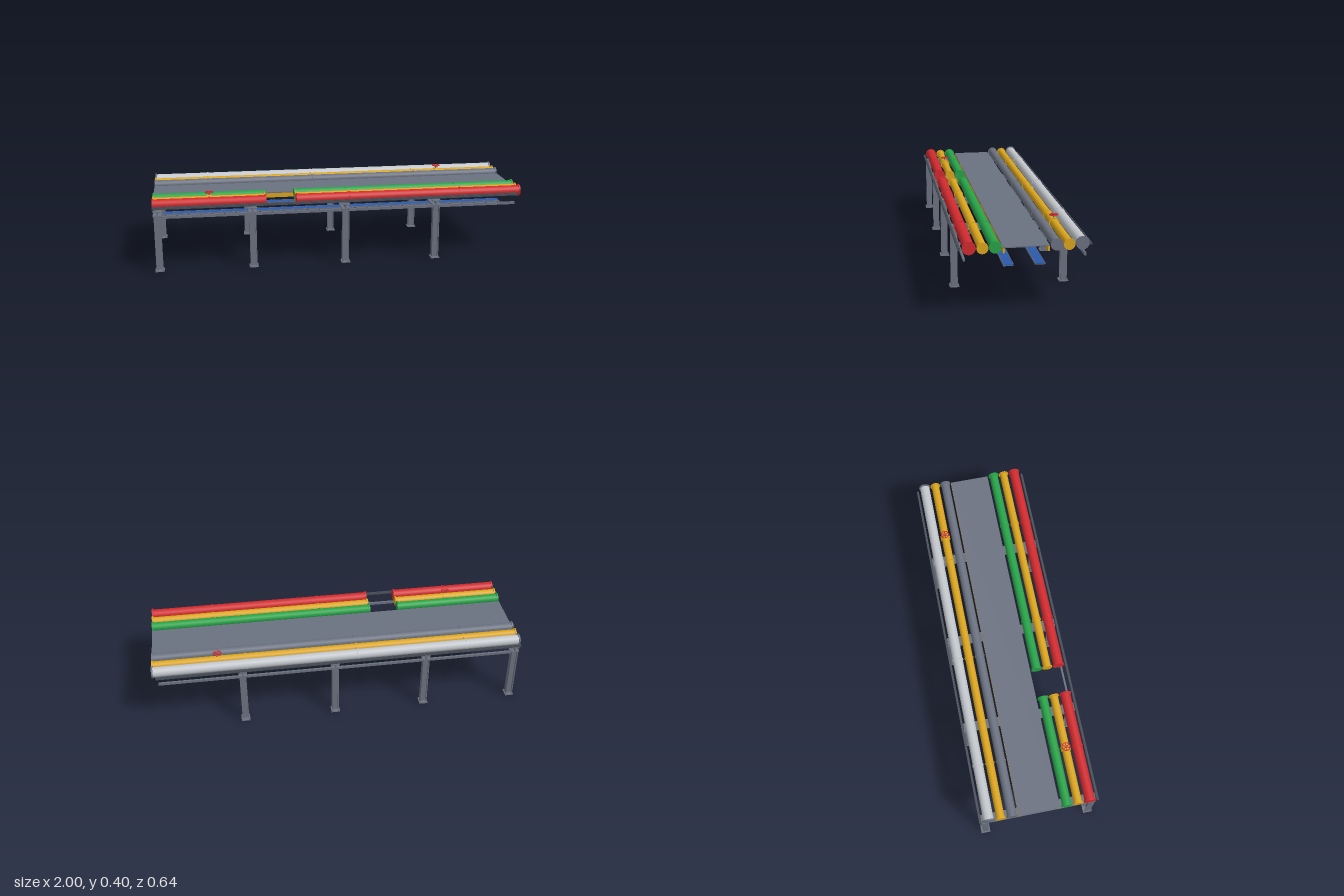
import * as THREE from 'three';

const mat = (name, hex, side = THREE.FrontSide) => {
  const m = new THREE.MeshStandardMaterial({ color: hex, side });
  m.name = name;
  return m;
};

export function createModel() {
  const root = new THREE.Group();
  root.name = 'pipeRack';
  const steel = mat('steelGrey', 0x6b7280);
  const silver = mat('silver', 0xc3c7cc);
  const red = mat('red', 0xd12a2e);
  const yellow = mat('yellow', 0xdba51c);
  const green = mat('green', 0x27a348);
  const blue = mat('blue', 0x2c5aa8);
  const dark = mat('darkGrey', 0x4a4f58);

  const add = (parent, name, geo, material, x = 0, y = 0, z = 0) => {
    const m = new THREE.Mesh(geo, material);
    m.name = name;
    m.position.set(x, y, z);
    parent.add(m);
    return m;
  };
  const box = (parent, name, material, w, h, d, x, y, z) =>
    add(parent, name, new THREE.BoxGeometry(w, h, d), material, x, y, z);
  const group = (name, parent = root) => {
    const g = new THREE.Group();
    g.name = name;
    parent.add(g);
    return g;
  };
  // Cylinder lying along x from x0 to x1
  const rod = (parent, name, material, r, x0, x1, y, z, sides = 24) =>
    add(parent, name, new THREE.CylinderGeometry(r, r, x1 - x0, sides).rotateZ(-Math.PI / 2),
      material, (x0 + x1) / 2, y, z);

  // I section, extruded along z; flanges lie at the top and bottom
  const iBeam = (w, h, flange, web, length) => {
    const a = w / 2, b = h / 2, c = b - flange, t = web / 2;
    const pts = [[-a, -b], [a, -b], [a, -c], [t, -c], [t, c], [a, c],
      [a, b], [-a, b], [-a, c], [-t, c], [-t, -c], [-a, -c]];
    const shape = new THREE.Shape(pts.map(p => new THREE.Vector2(p[0], p[1])));
    return new THREE.ExtrudeGeometry(shape, { depth: length, bevelEnabled: false })
      .translate(0, 0, -length / 2);
  };
  const beamGeo = iBeam(0.045, 0.028, 0.005, 0.008, 0.61);
  const postGeo = iBeam(0.034, 0.036, 0.005, 0.007, 0.297)
    .rotateZ(Math.PI / 2).rotateX(Math.PI / 2);

  // Portal frames: cross beam, posts, base plates and knee braces
  const frameXs = [-0.975, -0.475, 0.025, 0.525];
  for (const x of frameXs) {
    const f = group('portalFrame');
    f.position.x = x;
    add(f, 'crossBeam', beamGeo, steel, 0, 0.317, 0);
    for (const s of [1, -1]) {
      add(f, 'post', postGeo, steel, 0, 0.1545, s * 0.288);
      box(f, 'basePlate', steel, 0.048, 0.005, 0.05, 0, 0.0025, s * 0.288);
      for (const bx of [-0.019, 0.019]) for (const bz of [-0.02, 0.02])
        add(f, 'anchorBolt', new THREE.CylinderGeometry(0.003, 0.003, 0.005, 6), steel,
          bx, 0.0075, s * 0.288 + bz);
      const brace = box(f, 'kneeBrace', steel, 0.012, 0.125, 0.012, 0, 0.256, s * 0.232);
      brace.rotation.x = -s * 0.74;
      // Trapeze hangers of the cable trays
      for (const z of [0.053, 0.099])
        box(f, 'trayHanger', steel, 0.004, 0.055, 0.003, 0.03, 0.276, s * z);
    }
  }

  // Side rails, outer conduits and cable trays
  for (const s of [1, -1]) {
    box(root, 'lowerRail', steel, 1.96, 0.014, 0.01, -0.01, 0.295, s * 0.289);
    const c = group('outerConduit');
    box(c, 'conduitBody', dark, 1.98, 0.009, 0.012, -0.01, 0.349, s * 0.312);
    box(c, 'conduitRidge', dark, 1.98, 0.005, 0.006, -0.01, 0.356, s * 0.312);
    const t = group('cableTray');
    box(t, 'trayFloor', steel, 1.9, 0.003, 0.049, 0, 0.249, s * 0.076);
    for (const z of [0.052, 0.1])
      box(t, 'trayLip', steel, 1.9, 0.009, 0.002, 0, 0.252, s * z);
    box(t, 'cables', blue, 1.9, 0.005, 0.046, 0, 0.253, s * 0.076);
  }

  // Walkway deck on two kerb strips
  box(root, 'walkwayDeck', steel, 2, 0.006, 0.22, 0, 0.357, 0);
  for (const s of [1, -1])
    box(root, 'walkwayKerb', yellow, 2, 0.024, 0.009, 0, 0.342, s * 0.106);

  // Pipe runs with end flanges, joint collars and saddles
  const frontSpans = [[-1, -0.4], [-0.24, 1]], backSpans = [[-1, 1]];
  const frontJoints = [-0.7, 0.05, 0.66], backJoints = [-0.7, -0.1, 0.5];
  const runs = [
    ['redPipe', 0.269, 0.361, 0.0275, 0.0325, red, red, true],
    ['frontYellowPipe', 0.206, 0.358, 0.022, 0.028, yellow, yellow, true],
    ['greenPipe', 0.146, 0.36, 0.0245, 0.03, green, green, true],
    ['greyPipe', -0.145, 0.36, 0.0245, 0.03, steel, steel, false],
    ['backYellowPipe', -0.205, 0.358, 0.022, 0.028, yellow, yellow, false],
    ['silverPipe', -0.268, 0.361, 0.0275, 0.0325, silver, steel, false],
  ];
  for (const [name, z, y, r, fr, color, endColor, front] of runs) {
    const g = group(name);
    const spans = front ? frontSpans : backSpans;
    for (const [x0, x1] of spans) {
      rod(g, 'pipe', color, r, x0 + 0.001, x1 - 0.001, y, z);
      rod(g, 'endFlange', endColor, fr, x0, x0 + 0.008, y, z);
      rod(g, 'endFlange', endColor, fr, x1 - 0.008, x1, y, z);
    }
    for (const x of front ? frontJoints : backJoints)
      rod(g, 'jointCollar', color, r + 0.003, x - 0.004, x + 0.004, y, z);
    for (const x of frameXs)
      box(g, 'saddle', steel, 0.03, y - r - 0.326, r, x, (y - r + 0.334) / 2, z);
  }

  // Valves with handwheels on the yellow pipes
  for (const [x, z] of [[-0.7, 0.206], [0.65, -0.205]]) {
    const v = group('valve');
    v.position.set(x, 0, z);
    rod(v, 'valveBody', yellow, 0.027, -0.012, 0.012, 0.358, 0);
    add(v, 'stem', new THREE.CylinderGeometry(0.004, 0.004, 0.024, 10), steel, 0, 0.391, 0);
    add(v, 'handwheel', new THREE.TorusGeometry(0.021, 0.0025, 8, 24).rotateX(Math.PI / 2),
      red, 0, 0.4, 0);
    add(v, 'hub', new THREE.CylinderGeometry(0.006, 0.006, 0.006, 12), red, 0, 0.4, 0);
    for (let i = 0; i < 3; i++)
      box(v, 'spoke', red, 0.04, 0.003, 0.004, 0, 0.4, 0).rotation.y = i * Math.PI / 3;
  }
  return root;
}
